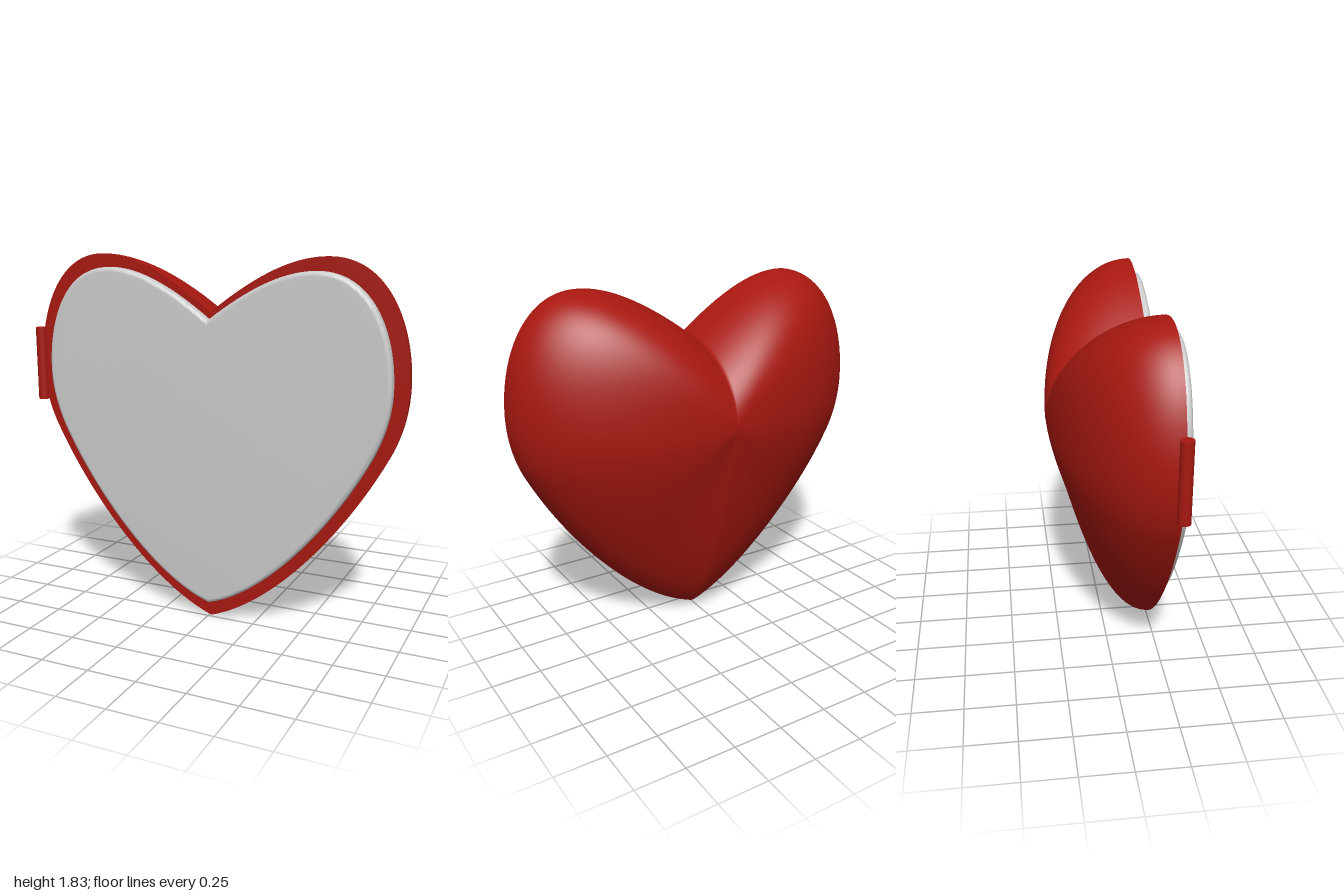
import * as THREE from 'three';
import { mergeVertices, toCreasedNormals } from 'three/addons/utils/BufferGeometryUtils.js';

const CX = 0.013;      // symmetry axis of the heart
const APEX_Y = 1.18;   // height of the deepest point of the dome
const RIM_Z = 0.235;   // plane where dome and front plate meet
const DEPTH = 0.515;

// Mirrored heart outline; each segment of the right half is
// [control 1, control 2, end], running from the notch down to the tip.
function heartShape(notchY, segments) {
  const shape = new THREE.Shape();
  shape.moveTo(CX, notchY);
  for (const [a, b, c] of segments) {
    shape.bezierCurveTo(CX + a[0], a[1], CX + b[0], b[1], CX + c[0], c[1]);
  }
  for (let i = segments.length - 1; i >= 0; i--) {
    const [a, b] = segments[i];
    const end = i > 0 ? segments[i - 1][2] : [0, notchY];
    shape.bezierCurveTo(CX - b[0], b[1], CX - a[0], a[1], CX - end[0], end[1]);
  }
  return shape;
}

// Dome: shrinking copies of the outline, rounded at the sides and
// leaner towards the tip.
function domeGeometry(shape, rings = 32) {
  const outline = shape.getPoints(32);
  if (outline[0].distanceTo(outline[outline.length - 1]) < 1e-5) outline.pop();
  const n = outline.length;
  const positions = [];
  const index = [];
  for (let i = 0; i <= rings; i++) {
    const t = i === rings ? 1 : Math.sin((i / rings) * Math.PI / 2);
    for (const p of outline) {
      const dx = p.x - CX;
      const dy = p.y - APEX_Y;
      const down = Math.max(0, -dy / Math.hypot(dx, dy));
      const power = 1.95 - 0.95 * down * down;
      const depth = Math.sqrt(Math.max(0, 1 - Math.pow(t, power)));
      positions.push(CX + dx * t, APEX_Y + dy * t, RIM_Z - DEPTH * depth);
    }
  }
  for (let i = 0; i < rings; i++) {
    for (let j = 0; j < n; j++) {
      const k = (j + 1) % n;
      const a = i * n + j, b = a + n, c = (i + 1) * n + k, d = i * n + k;
      if (i > 0) index.push(a, c, d);
      index.push(a, b, c);
    }
  }
  const geometry = new THREE.BufferGeometry();
  geometry.setAttribute('position', new THREE.Float32BufferAttribute(positions, 3));
  geometry.setIndex(index);
  const merged = mergeVertices(geometry, 1e-5);
  merged.computeVertexNormals();
  return merged;
}

export function createModel() {
  const model = new THREE.Group();
  model.name = 'heartCase';
  const red = new THREE.MeshStandardMaterial({ color: 0xa81810 });
  const grey = new THREE.MeshStandardMaterial({ color: 0xcccccc });

  const add = (name, geometry, material) => {
    const mesh = new THREE.Mesh(geometry, material);
    mesh.name = name;
    model.add(mesh);
    return mesh;
  };

  // Red shell with its flat rim
  const shellShape = heartShape(1.565, [
    [[0.22, 1.735], [0.41, 1.835], [0.59, 1.835]],
    [[0.85, 1.835], [0.977, 1.55], [0.977, 1.27]],
    [[0.977, 1.15], [0.95, 1.03], [0.89, 0.92]],
    [[0.7, 0.55], [0.34, 0.12], [0, 0.003]],
  ]);
  add('shell', domeGeometry(shellShape), red);
  add('rim', new THREE.ShapeGeometry(shellShape, 32), red).position.z = RIM_Z;

  // Grey front plate with a rounded edge
  const plateShape = heartShape(1.53, [
    [[0.2, 1.68], [0.38, 1.77], [0.54, 1.77]],
    [[0.79, 1.77], [0.905, 1.52], [0.905, 1.25]],
    [[0.905, 1.14], [0.875, 1.03], [0.82, 0.92]],
    [[0.64, 0.57], [0.3, 0.17], [0, 0.085]],
  ]);
  const bevel = 0.02;
  const plate = new THREE.ExtrudeGeometry(plateShape, {
    depth: 0.03, curveSegments: 28,
    bevelThickness: bevel, bevelSize: bevel, bevelOffset: -bevel, bevelSegments: 5,
  });
  add('frontPlate', toCreasedNormals(plate, 0.7), grey).position.z = 0.28 - 0.03 - bevel;

  // Hinge pin on the model's right edge
  add('hinge', new THREE.CylinderGeometry(0.03, 0.03, 0.38, 24), red)
    .position.set(-0.97, 1.26, 0.232);

  return model;
}
